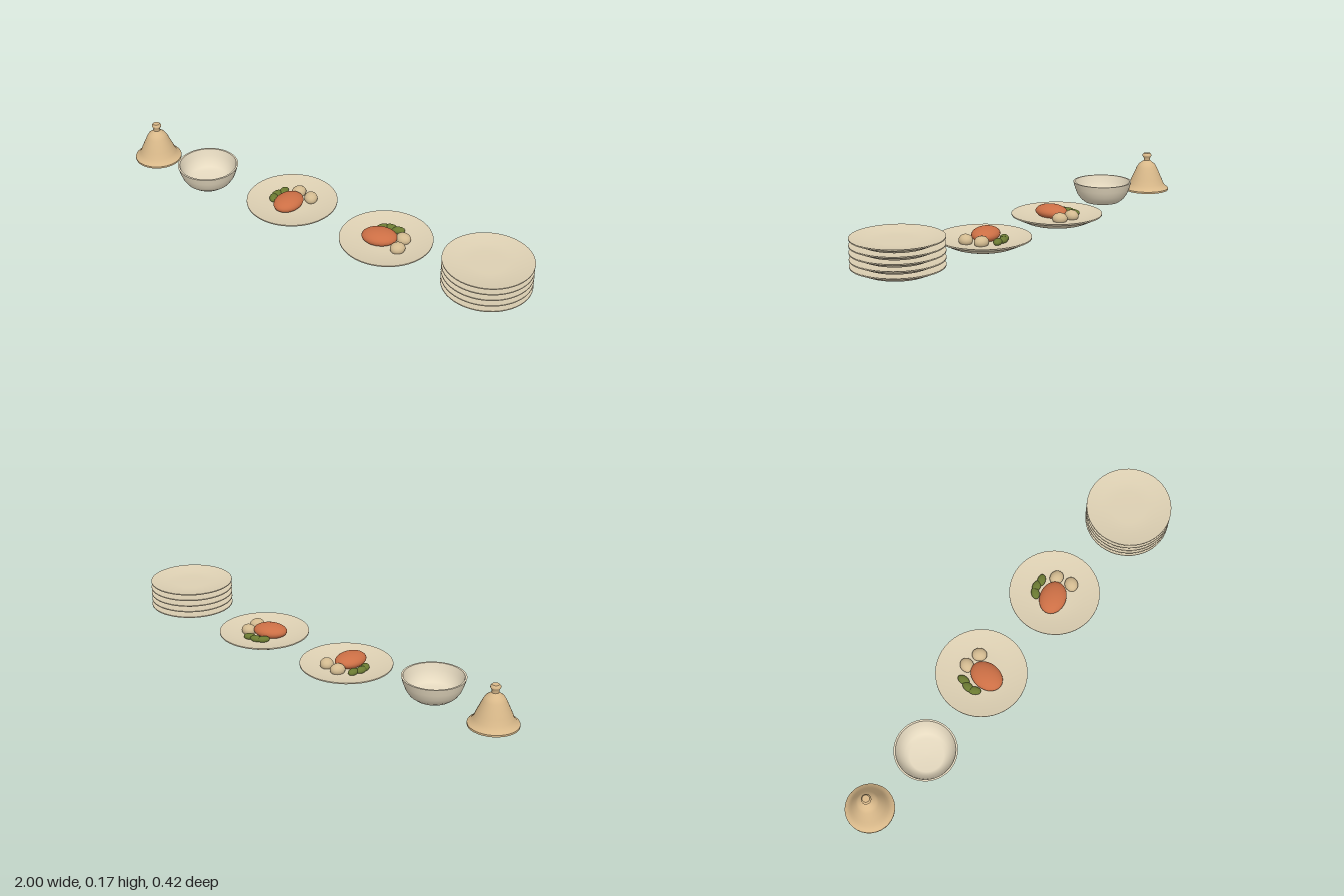
import * as THREE from 'three';

const mat = (color) => new THREE.MeshStandardMaterial({ color });
const china = mat(0xdccfb2);
const bowlChina = mat(0xe6dac0);
const brass = mat(0xd9b98a);
const meat = mat(0xcc6f45);
const potatoSkin = mat(0xd2ba90);
const green = mat(0x6b7a32);

function add(parent, name, geometry, material, x = 0, y = 0, z = 0) {
  const mesh = new THREE.Mesh(geometry, material);
  mesh.name = name;
  mesh.position.set(x, y, z);
  parent.add(mesh);
  return mesh;
}

// Lathe from [radius, height] runs; each run is smooth, with a sharp edge between runs
function turned(name, runs, material, segments = 48) {
  const group = new THREE.Group();
  group.name = name;
  runs.forEach((run, i) => {
    const points = run.map(([r, y]) => new THREE.Vector2(r, y));
    add(group, `${name}Surface${i + 1}`, new THREE.LatheGeometry(points, segments), material);
  });
  return group;
}

// Shallow plate: flat foot, sloping underside, thin rim, slightly dished top
function plate(name, r, h) {
  const foot = r * 0.63;
  return turned(name, [
    [[0, 0], [foot, 0]],
    [[foot, 0], [foot * 1.12, h * 0.13], [r, h * 0.86]],
    [[r, h * 0.86], [r, h]],
    [[r, h], [r * 0.97, h], [r * 0.68, h * 0.62], [r * 0.4, h * 0.56], [0, h * 0.56]],
  ], china);
}

const ball = new THREE.SphereGeometry(1, 28, 18);

// Flattened ellipsoid of food, turned about the vertical axis
function morsel(parent, name, material, [x, y, z], [rx, ry, rz], turn = 0) {
  const mesh = add(parent, name, ball, material, x, y, z);
  mesh.scale.set(rx, ry, rz);
  mesh.rotation.y = turn;
}

function dinner(name, x, z, turn) {
  const group = new THREE.Group();
  group.name = name;
  group.add(plate('dinnerPlate', 0.197, 0.038));
  morsel(group, 'meat', meat, [-0.026, 0.041, 0.011], [0.076, 0.031, 0.058], 0.35);
  [[0.061, -0.037], [0.076, 0.033]].forEach(([px, pz], i) =>
    morsel(group, `potato${i + 1}`, potatoSkin, [px, 0.034, pz], [0.033, 0.025, 0.029], i));
  [[-0.054, -0.064, 0.9], [-0.026, -0.08, 0.3], [0.011, -0.081, 0.45]].forEach(([px, pz, a], i) =>
    morsel(group, `sprout${i + 1}`, green, [px, 0.031, pz], [0.028, 0.014, 0.018], a));
  group.position.set(x, 0, z);
  group.rotation.y = turn;
  return group;
}

export function createModel() {
  const model = new THREE.Group();
  model.name = 'tableware';

  // Table bell with closed base and knob
  const bell = turned('bell', [
    [[0, 0], [0.104, 0]],
    [[0.104, 0], [0.104, 0.008]],
    [[0.104, 0.008], [0.092, 0.016], [0.08, 0.032], [0.071, 0.055], [0.058, 0.083],
      [0.047, 0.108], [0.037, 0.124], [0.023, 0.134], [0.0145, 0.141]],
    [[0.0145, 0.141], [0.0145, 0.152], [0.021, 0.162]],
    [[0.021, 0.162], [0.021, 0.168], [0.015, 0.175]],
    [[0.015, 0.175], [0, 0.175]],
  ], brass, 32);
  bell.position.x = -0.897;
  model.add(bell);

  // Open bowl
  const bowl = turned('bowl', [
    [[0, 0], [0.08, 0]],
    [[0.08, 0], [0.1, 0.016], [0.115, 0.038], [0.125, 0.064], [0.133, 0.093]],
    [[0.133, 0.093], [0.125, 0.093]],
    [[0.125, 0.093], [0.117, 0.064], [0.106, 0.04], [0.09, 0.02], [0.072, 0.011], [0, 0.01]],
  ], bowlChina);
  bowl.position.set(-0.577, 0, 0.037);
  model.add(bowl);

  // Two served dinners
  model.add(dinner('dinnerRight', -0.157, -0.012, 1.2));
  model.add(dinner('dinnerLeft', 0.329, 0, 0));

  // Stack of five empty plates
  const stack = new THREE.Group();
  stack.name = 'plateStack';
  for (let i = 0; i < 5; i++) {
    const p = plate(`stackedPlate${i + 1}`, 0.185, 0.032);
    p.position.y = i * 0.0275;
    stack.add(p);
  }
  stack.position.set(0.815, 0, 0.025);
  model.add(stack);

  return model;
}
